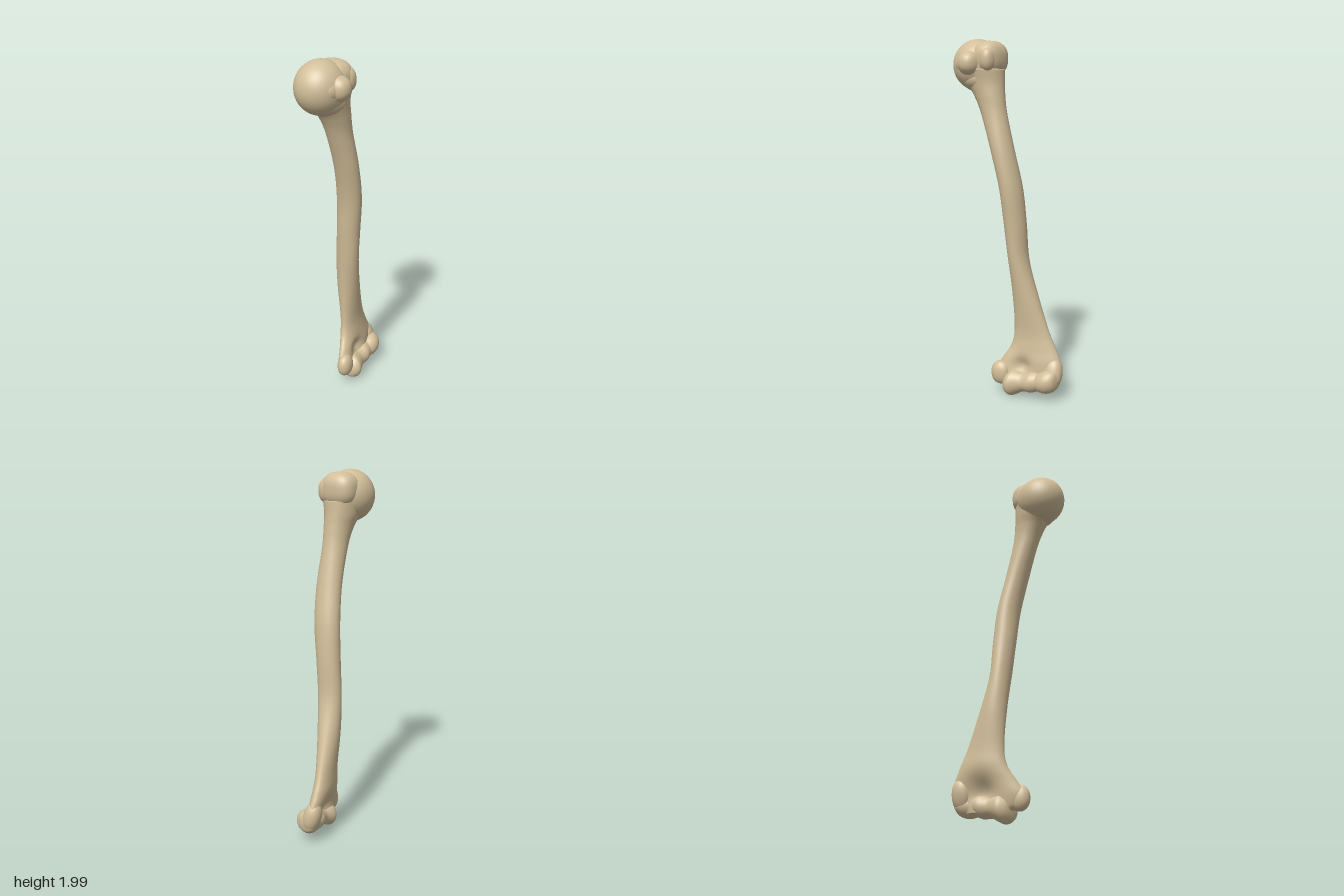
import * as THREE from 'three';
import { mergeVertices } from 'three/addons/utils/BufferGeometryUtils.js';

const bone = new THREE.MeshStandardMaterial({ color: 0xd2be99 });
bone.name = 'bone';

// Move every vertex by a rule, then weld and smooth the surface
function shape(geometry, rule) {
  const p = geometry.attributes.position, v = new THREE.Vector3();
  for (let i = 0; i < p.count; i++) {
    rule(v.fromBufferAttribute(p, i));
    p.setXYZ(i, v.x, v.y, v.z);
  }
  geometry.deleteAttribute('uv');
  geometry.deleteAttribute('normal');
  const welded = mergeVertices(geometry, 1e-5);
  welded.computeVertexNormals();
  return welded;
}

// Rounded knob: an ellipsoid, boxier as the power drops below 1
function knob(center, radii, power = 1, yaw = 0, lean = 0) {
  const soft = (n) => Math.sign(n) * Math.abs(n) ** power;
  const geometry = shape(new THREE.SphereGeometry(1, 40, 28), (v) => {
    v.set(soft(v.x) * radii[0], soft(v.y) * radii[1], soft(v.z) * radii[2]);
  });
  geometry.rotateX(lean).rotateY(yaw).translate(...center);
  return geometry;
}

// Shaft sections: y, centre x, centre z, half width, half depth, twist
const sections = [
  [0.07, 0.13, -0.055, 0.13, 0.035, 0.28],
  [0.10, 0.12, -0.055, 0.165, 0.04, 0.28],
  [0.15, 0.12, -0.06, 0.19, 0.045, 0.28],
  [0.22, 0.137, -0.075, 0.172, 0.05, 0.28],
  [0.30, 0.14, -0.09, 0.132, 0.05, 0.26],
  [0.40, 0.125, -0.09, 0.102, 0.048, 0.24],
  [0.60, 0.088, -0.078, 0.074, 0.061, 0.2],
  [0.80, 0.056, -0.058, 0.056, 0.068, 0.1],
  [1.00, 0.045, -0.04, 0.06, 0.07, 0],
  [1.20, 0.03, -0.02, 0.06, 0.075, 0],
  [1.40, -0.012, -0.002, 0.062, 0.072, 0],
  [1.60, -0.068, 0.002, 0.073, 0.068, 0],
  [1.70, -0.1, 0.002, 0.09, 0.077, 0],
  [1.77, -0.13, -0.002, 0.113, 0.092, 0],
  [1.84, -0.135, 0, 0.115, 0.105, 0],
];

function shaftGeometry() {
  const curve = (pick) => new THREE.CatmullRomCurve3(
    sections.map((s) => new THREE.Vector3(...pick(s))), false, 'catmullrom');
  const spine = curve(([y, x, z]) => [x, y, z]);
  const size = curve(([, , , a, b, t]) => [a, b, t]);
  const bump = (x, y, cx, cy, rx, ry) =>
    Math.exp(-(((x - cx) / rx) ** 2) - ((y - cy) / ry) ** 2);
  return shape(new THREE.CylinderGeometry(1, 1, 1, 56, 140), (v) => {
    const u = THREE.MathUtils.clamp(v.y + 0.5, 0, 1);
    const c = spine.getPoint(u), s = size.getPoint(u);
    const side = v.z, x = v.x * s.x, z = v.z * s.y;
    v.set(c.x + x * Math.cos(s.z) + z * Math.sin(s.z), c.y,
      c.z - x * Math.sin(s.z) + z * Math.cos(s.z));
    // Hollows above the joint, front and back
    if (side > 0) v.z -= 0.035 * side * bump(v.x, v.y, 0.1, 0.19, 0.05, 0.05);
    else v.z -= 0.045 * side * bump(v.x, v.y, 0.14, 0.17, 0.07, 0.07);
  });
}

// Spool-shaped lower joint, turned along x and set on a sloping axis
function jointGeometry() {
  const profile = [[0, 0.005], [0.045, 0.01], [0.068, 0.03], [0.077, 0.052],
    [0.068, 0.08], [0.056, 0.11], [0.056, 0.135], [0.062, 0.165], [0.058, 0.19],
    [0.054, 0.205], [0.063, 0.23], [0.068, 0.26], [0.06, 0.29], [0.04, 0.308], [0, 0.315]];
  const points = new THREE.SplineCurve(profile.map((p) => new THREE.Vector2(...p))).getPoints(60);
  points.forEach((p) => { p.x = Math.max(p.x, 0); });
  const lathe = new THREE.LatheGeometry(points, 40).rotateZ(-Math.PI / 2);
  return shape(lathe, (v) => {
    const d = v.x - 0.05;
    v.y += 0.086 + d * 0.18;
    v.z += -0.022 - d * 0.2;
  });
}

export function createModel() {
  const group = new THREE.Group();
  group.name = 'armBone';
  const add = (name, geometry) => {
    const mesh = new THREE.Mesh(geometry, bone);
    mesh.name = name;
    group.add(mesh);
  };

  add('shaft', shaftGeometry());

  // Upper end
  add('head', knob([-0.187, 1.861, -0.008], [0.14, 0.139, 0.131]));
  add('neck', knob([-0.16, 1.79, 0], [0.115, 0.075, 0.1]));
  add('greaterTubercle', knob([-0.102, 1.895, -0.005], [0.083, 0.093, 0.104], 0.8));
  add('greaterTubercleFront', knob([-0.068, 1.89, 0.055], [0.042, 0.065, 0.05], 0.9));
  add('lesserTubercle', knob([-0.165, 1.87, 0.085], [0.06, 0.065, 0.075], 0.9));
  add('lesserTubercleSlope', knob([-0.205, 1.865, 0.07], [0.065, 0.06, 0.055]));

  // Lower end
  add('joint', jointGeometry());
  add('outerEpicondyle', knob([0.265, 0.165, -0.1], [0.055, 0.09, 0.05], 0.95, 0.2, -0.25));
  add('innerEpicondyle', knob([-0.025, 0.135, 0.0], [0.056, 0.068, 0.042], 0.95, 0.25));

  return group;
}
